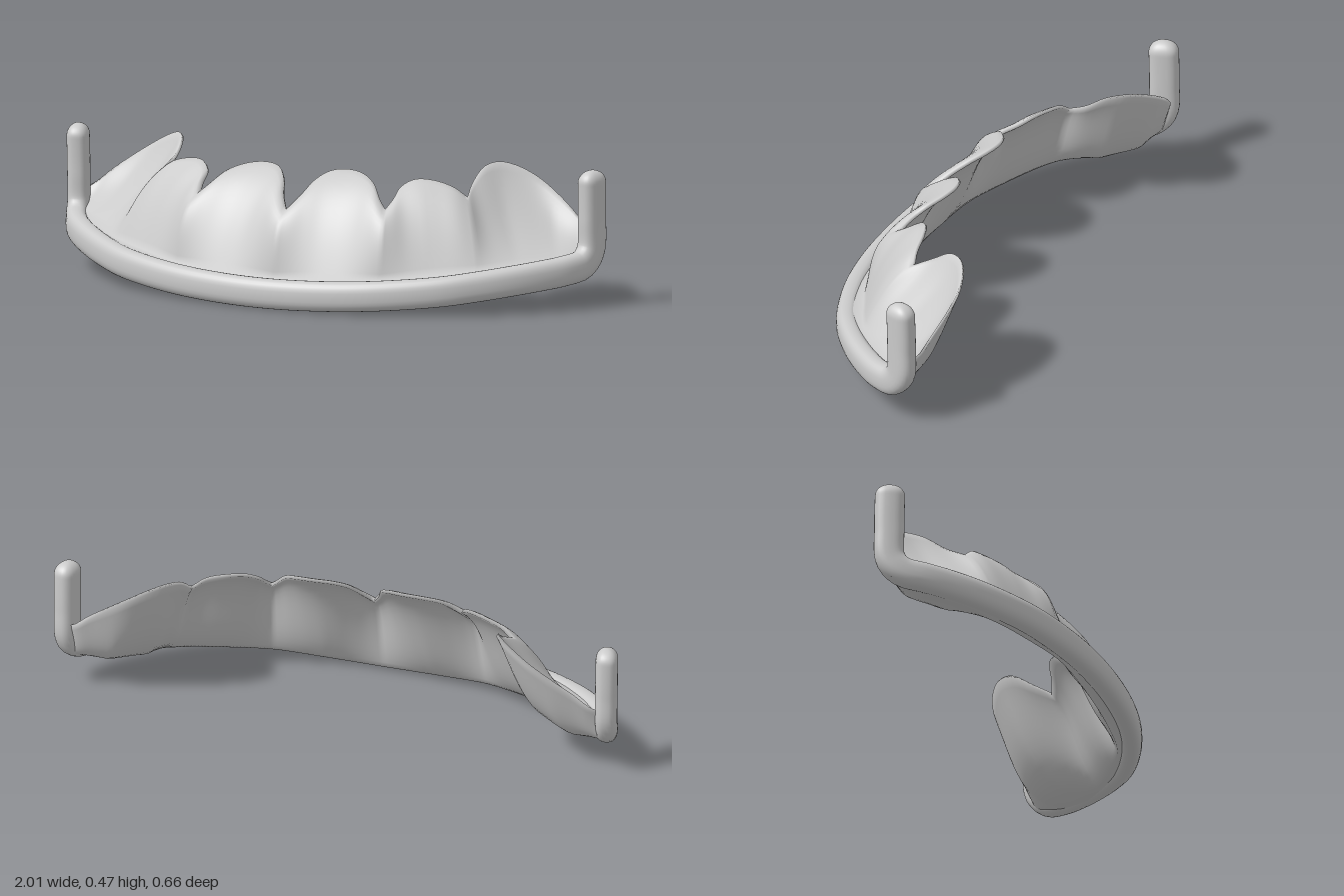
import * as THREE from 'three';
import { mergeVertices } from 'three/addons/utils/BufferGeometryUtils.js';

const V = (p) => new THREE.Vector3(...p);
const curve = (pts) => new THREE.CatmullRomCurve3(pts.map(V), false, 'centripetal');
const mirrored = (p) => [-p[0], p[1], p[2]];
const squared = (c) => Math.sign(c) * Math.pow(Math.abs(c), 0.8);

// Outward horizontal direction of the bow at a given x
function outward(x) {
  const a = x + 0.5 * Math.pow(x, 13);
  return new THREE.Vector3(Math.sin(a), 0, Math.cos(a));
}

// Smooth skin over a list of equally long cross-sections
function skin(sections) {
  const n = sections[0].length, pos = [], index = [];
  sections.forEach((s) => s.forEach((p) => pos.push(p.x, p.y, p.z)));
  for (let i = 0; i < sections.length - 1; i++) {
    for (let k = 0; k < n - 1; k++) {
      const a = i * n + k, b = a + n;
      index.push(a, b, b + 1, a, b + 1, a + 1);
    }
  }
  let g = new THREE.BufferGeometry();
  g.setAttribute('position', new THREE.Float32BufferAttribute(pos, 3));
  g.setIndex(index);
  g = mergeVertices(g, 1e-5);
  g.computeVertexNormals();
  return g;
}

// Curved rim with an upright post at each end
function rimGeometry() {
  const half = [
    [0.2, 0.057, 0.279], [0.39, 0.067, 0.239], [0.59, 0.085, 0.16], [0.7, 0.1, 0.087],
    [0.79, 0.114, 0.012], [0.86, 0.125, -0.06], [0.915, 0.135, -0.13], [0.95, 0.15, -0.198],
    [0.962, 0.195, -0.235], [0.964, 0.3, -0.239], [0.965, 0.4, -0.237], [0.965, 0.467, -0.234],
  ];
  const path = curve([...half.map(mirrored).reverse(), [0, 0.053, 0.292], ...half]);
  path.arcLengthDivisions = 1000;
  const length = path.getLength(), rings = 160, sides = 28, cap = 0.042, sections = [];
  for (let i = 0; i <= rings; i++) {
    const u = 0.5 - 0.5 * Math.cos((Math.PI * i) / rings);
    const c = path.getPointAt(u), t = path.getTangentAt(u);
    const up = new THREE.Vector3().crossVectors(outward(c.x), t).normalize();
    const side = new THREE.Vector3().crossVectors(t, up);
    // rounded ends
    const d = Math.min(1, (Math.min(u, 1 - u) * length) / cap);
    const r = Math.sqrt(Math.max(0, 1 - (1 - d) ** 2));
    const ring = [];
    for (let k = 0; k <= sides; k++) {
      const a = ((k % sides) / sides) * Math.PI * 2;
      ring.push(c.clone()
        .addScaledVector(side, 0.038 * r * squared(Math.cos(a)))
        .addScaledVector(up, 0.051 * r * squared(Math.sin(a))));
    }
    sections.push(ring);
  }
  return skin(sections);
}

// Foot of the scalloped sheet, along the inside of the rim
const foot = curve([
  [0, 0.093, 0.23], [0.2, 0.098, 0.222], [0.38, 0.111, 0.194], [0.53, 0.128, 0.13],
  [0.68, 0.146, 0.05], [0.79, 0.159, -0.045], [0.885, 0.17, -0.14], [0.95, 0.19, -0.24],
]);
// Values at each foot point: forward bulge, backward swell, depth of the back's foot
const bulges = [0.04, 0.045, 0.038, 0.034, 0.018, -0.028, -0.03, 0];
const swells = [0.02, 0.035, 0.022, 0.035, 0.026, 0.05, 0.045, 0.01];
const depths = [0.08, 0.08, 0.08, 0.084, 0.09, 0.09, 0.08, 0.07];

// Top edge of each lobe, with its stretch of the foot
const lobes = [
  { from: 0, to: 2, top: [[0, 0.315, 0.135], [0.03, 0.355, 0.095], [0.06, 0.405, 0.035],
    [0.1, 0.432, -0.008], [0.16, 0.438, -0.024], [0.22, 0.43, -0.01], [0.28, 0.405, 0.03],
    [0.32, 0.365, 0.07], [0.35, 0.336, 0.09]] },
  { from: 2, to: 4, top: [[0.35, 0.336, 0.09], [0.36, 0.365, 0.05], [0.365, 0.4, 0],
    [0.4, 0.422, -0.035], [0.46, 0.42, -0.057], [0.53, 0.4, -0.068], [0.575, 0.368, -0.08]] },
  { from: 4, to: 7, top: [[0.575, 0.368, -0.08], [0.56, 0.405, -0.15], [0.57, 0.45, -0.22],
    [0.6, 0.46, -0.27], [0.65, 0.445, -0.305], [0.72, 0.408, -0.325], [0.8, 0.356, -0.318],
    [0.87, 0.305, -0.3], [0.92, 0.262, -0.285], [0.955, 0.24, -0.265]] },
];

function sheetGeometry() {
  const steps = 28, rows = 14, halfSections = [];
  lobes.forEach(({ from, to, top }, li) => {
    const edge = curve(top);
    for (let j = li ? 1 : 0; j <= steps; j++) {
      const f = from + ((to - from) * j) / steps;
      const base = foot.getPoint(f / 7), tip = edge.getPointAt(j / steps);
      const i = Math.min(6, Math.floor(f));
      const at = (list) => THREE.MathUtils.lerp(list[i], list[i + 1], f - i);
      const bulge = at(bulges), swell = at(swells);
      const out = outward(base.x);
      const dir = out.clone().multiplyScalar(0.65).setY(0.76);
      const backBase = base.clone().setY(base.y - at(depths));
      const backTip = tip.clone().addScaledVector(dir, -0.012);
      const lean = (v) => bulge * 4 * v * (1 - v) * (0.7 + 0.6 * v);
      const section = [base.clone().addScaledVector(out, 0.035)];
      for (let k = 0; k <= rows; k++) {
        const v = k / rows;
        section.push(base.clone().lerp(tip, v).addScaledVector(dir, lean(v)));
      }
      // the back swells most in its lower third
      for (let k = rows; k >= 0; k--) {
        const v = k / rows, belly = swell * 6.75 * v * (1 - v) ** 2;
        section.push(backBase.clone().lerp(backTip, v).addScaledVector(dir, lean(v) - belly));
      }
      // ledges at both ends run into the rim
      section.push(backBase.clone().addScaledVector(out, 0.035));
      halfSections.push(section);
    }
  });
  const other = halfSections.slice(1).reverse()
    .map((s) => s.map((p) => new THREE.Vector3(-p.x, p.y, p.z)));
  return skin([...other, ...halfSections]);
}

export function createModel() {
  const group = new THREE.Group();
  const material = new THREE.MeshStandardMaterial({ color: 0xcccccc, side: THREE.DoubleSide });
  const add = (name, geometry) => {
    const mesh = new THREE.Mesh(geometry, material);
    mesh.name = name;
    group.add(mesh);
  };
  add('rimWithPosts', rimGeometry());
  add('scallopedSheet', sheetGeometry());
  return group;
}
